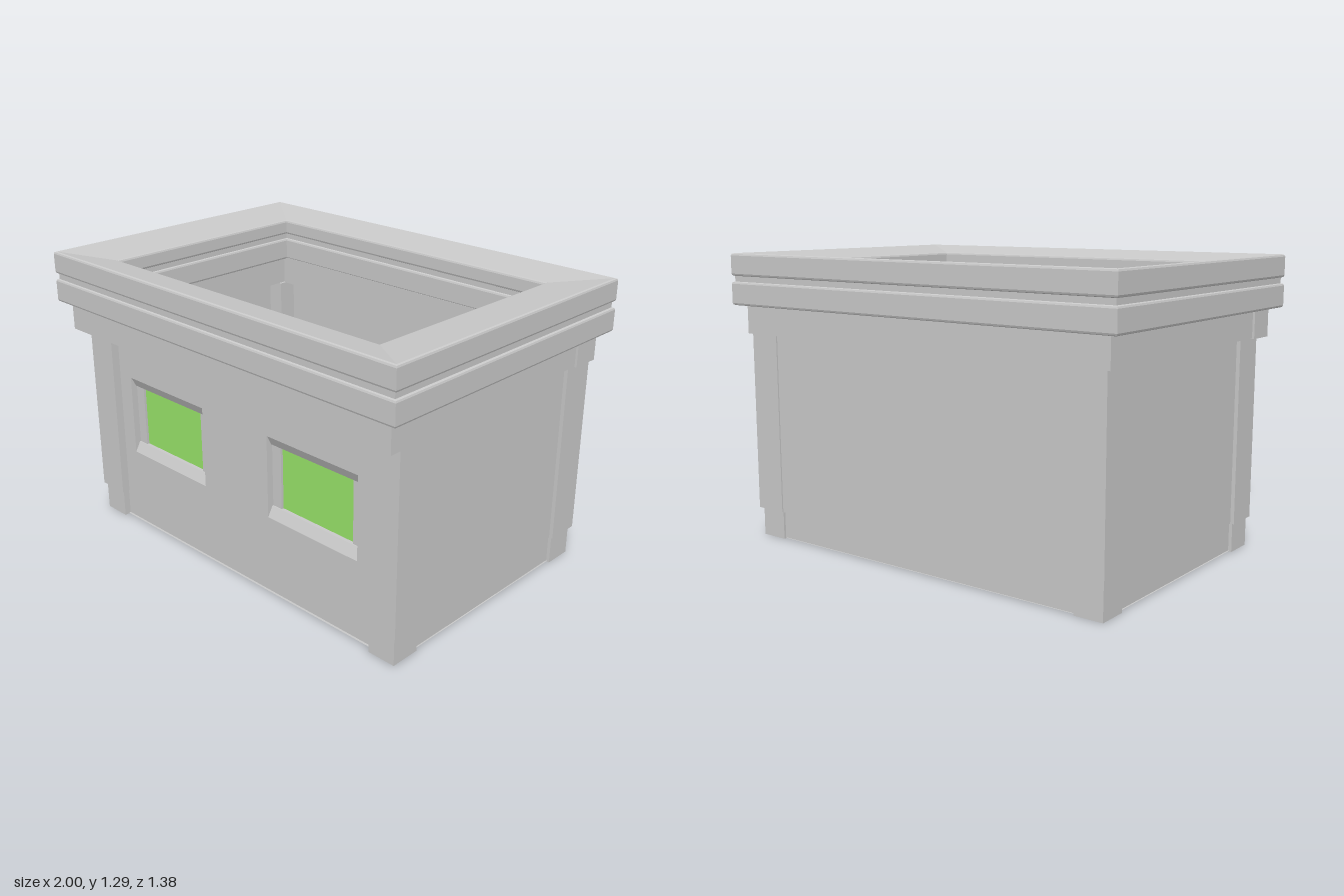
import * as THREE from 'three';

export function createModel() {
  const model = new THREE.Group();
  model.name = 'windowedBox';

  const mat = (name, color) => {
    const m = new THREE.MeshStandardMaterial({ color, side: THREE.DoubleSide });
    m.name = name;
    return m;
  };
  const grey = mat('stoneGrey', 0xc8c8c8);
  const green = mat('paneGreen', 0x97e368);

  const add = (name, geometry, material = grey) => {
    const mesh = new THREE.Mesh(geometry, material);
    mesh.name = name;
    model.add(mesh);
    return mesh;
  };

  // Box given by its limits on each axis
  const box = (name, x0, x1, y0, y1, z0, z1, material) => {
    const g = new THREE.BoxGeometry(x1 - x0, y1 - y0, z1 - z0);
    g.translate((x0 + x1) / 2, (y0 + y1) / 2, (z0 + z1) / 2);
    return add(name, g, material);
  };

  const rect = (Kind, x0, x1, y0, y1) => {
    const p = new Kind();
    p.moveTo(x0, y0);
    p.lineTo(x1, y0);
    p.lineTo(x1, y1);
    p.lineTo(x0, y1);
    p.closePath();
    return p;
  };

  // Horizontal rectangular ring with softened edges
  const ring = (name, w, d, iw, id, y0, y1, b) => {
    const s = rect(THREE.Shape, -w + b, w - b, -d + b, d - b);
    s.holes.push(rect(THREE.Path, -iw - b, iw + b, -id - b, id + b));
    const g = new THREE.ExtrudeGeometry(s, {
      depth: y1 - y0 - 2 * b, bevelEnabled: b > 0,
      bevelSize: b, bevelThickness: b, bevelSegments: 2,
    });
    g.rotateX(-Math.PI / 2);
    g.translate(0, y0 + b, 0);
    return add(name, g);
  };

  // Bar running along x, with a profile of [z, y] points
  const bar = (name, points, x0, x1) => {
    const s = new THREE.Shape(points.map(([z, y]) => new THREE.Vector2(z, y)));
    const g = new THREE.ExtrudeGeometry(s, { depth: x1 - x0, bevelEnabled: false });
    g.rotateY(-Math.PI / 2);
    g.translate(x1, 0, 0);
    return add(name, g);
  };

  // Stacked top rim, its upper face dipping toward the opening
  const rim = ring('topRim', 1, 0.69, 0.765, 0.51, 1.19, 1.29, 0.01).geometry;
  const p = rim.attributes.position;
  for (let i = 0; i < p.count; i++) {
    const inner = Math.abs(p.getX(i)) < 0.8 && Math.abs(p.getZ(i)) < 0.55;
    if (inner && p.getY(i) > 1.25) p.setY(i, p.getY(i) - 0.03);
  }
  rim.computeVertexNormals();
  ring('rimNeck', 0.988, 0.68, 0.78, 0.525, 1.155, 1.2, 0);
  ring('lowerRim', 1, 0.69, 0.77, 0.515, 1.06, 1.165, 0.01);

  // Cornice: front and back beams with slightly recessed sides
  ring('corniceSides', 0.94, 0.6, 0.79, 0.53, 0.936, 1.065, 0);
  box('corniceFront', -0.95, 0.95, 0.933, 1.066, 0.515, 0.65);
  box('corniceBack', -0.95, 0.95, 0.933, 1.066, -0.648, -0.515);

  // Corner posts, feet and side walls
  for (const s of [-1, 1]) {
    const post = (name, a, b, y0, y1, z0, z1) =>
      box(name, Math.min(s * a, s * b), Math.max(s * a, s * b), y0, y1, z0, z1);
    post('frontPost', 0.78, 0.932, 0.13, 0.935, 0.42, 0.577);
    post('backPost', 0.78, 0.932, 0.13, 0.935, -0.638, -0.48);
    post('frontFoot', 0.79, 0.92, 0, 0.13, 0.43, 0.566);
    post('backFoot', 0.79, 0.92, 0, 0.13, -0.622, -0.49);
    post('sideWall', 0.86, 0.915, 0.13, 0.94, -0.5, 0.45);
  }
  box('backWall', -0.79, 0.79, 0.13, 0.94, -0.632, -0.57);

  // Base walls around a single thin floor
  ring('base', 0.905, 0.574, 0.86, 0.53, 0.005, 0.132, 0).position.z = -0.038;
  const floor = new THREE.PlaneGeometry(1.82, 1.16);
  floor.rotateX(Math.PI / 2);
  floor.translate(0, 0.004, -0.035);
  // Shading normals point up while the face points down
  floor.attributes.normal.array.forEach((v, i, a) => { a[i] = -v; });
  add('floor', floor);

  // Recessed front wall with two window openings
  const wall = rect(THREE.Shape, -0.79, 0.79, 0.13, 0.94);
  for (const x of [-0.45, 0.45]) {
    wall.holes.push(rect(THREE.Path, x - 0.25, x + 0.25, 0.36, 0.73));
  }
  const wallGeo = new THREE.ExtrudeGeometry(wall, { depth: 0.035, bevelEnabled: false });
  wallGeo.translate(0, 0, 0.505);
  add('frontWall', wallGeo);

  // Windows: sloped sill and lintel, recessed jambs and pane
  for (const x of [-0.45, 0.45]) {
    const a = x - 0.25, b = x + 0.25;
    bar('windowSill', [[0.485, 0.36], [0.54, 0.36], [0.515, 0.405], [0.485, 0.405]], a, b);
    bar('windowLintel', [[0.485, 0.685], [0.515, 0.685], [0.538, 0.73], [0.485, 0.73]], a, b);
    box('windowJamb', a, a + 0.05, 0.405, 0.685, 0.485, 0.51);
    box('windowJamb', b - 0.05, b, 0.405, 0.685, 0.485, 0.51);
    box('windowPane', a + 0.05, b - 0.05, 0.405, 0.685, 0.491, 0.499, green);
  }

  // Inner ledge, counter and shelf behind the front wall
  box('innerLedge', -0.78, 0.78, 0.005, 0.34, 0.39, 0.506);
  box('counter', -0.54, 0.53, 0.82, 0.86, 0.29, 0.435);
  bar('innerShelf', [[0.43, 0.84], [0.507, 0.84], [0.507, 0.965], [0.43, 0.945]], -0.57, 0.57);

  return model;
}
